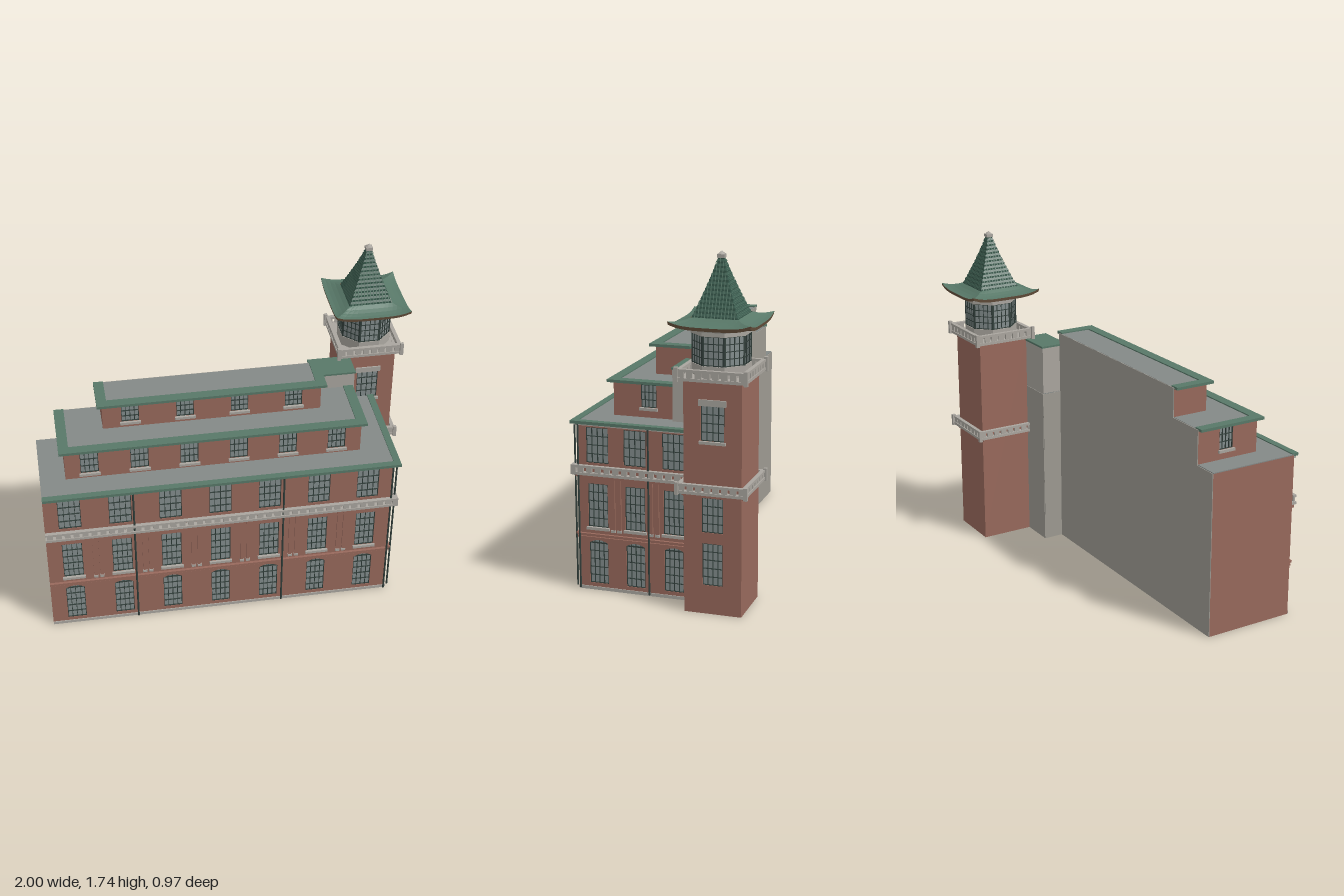
import * as THREE from 'three';
import { mergeGeometries } from 'three/addons/utils/BufferGeometryUtils.js';

const flat = (name, color) => new THREE.MeshStandardMaterial({ name, color, side: THREE.DoubleSide });

export function createModel() {
  const brick = flat('brick', 0x98695c), stone = flat('stone', 0xaaa69f), render = flat('backRender', 0x9d9a92);
  const glass = flat('glass', 0x838d8d), frame = flat('darkFrame', 0x33403c), green = flat('copperGreen', 0x587868);
  const tile = flat('darkTile', 0x37584b), roofGrey = flat('roofGrey', 0x848987), brown = flat('eaveBrown', 0x66503c);
  const model = new THREE.Group();
  model.name = 'building';

  const box = (x0, x1, y0, y1, z0, z1) =>
    new THREE.BoxGeometry(x1 - x0, y1 - y0, z1 - z0).translate((x0 + x1) / 2, (y0 + y1) / 2, (z0 + z1) / 2);
  const add = (parent, name, mat, geos) => {
    if (!geos.length) return;
    const mesh = new THREE.Mesh(mergeGeometries(geos), mat);
    mesh.name = name;
    parent.add(mesh);
  };
  // group whose local +z looks out of a facade
  const facing = (name, x, z, turn) => {
    const g = new THREE.Group();
    g.name = name;
    g.position.set(x, 0, z);
    g.rotation.y = turn * Math.PI / 2;
    model.add(g);
    return g;
  };

  // window outline, with a shallow arched head when rise > 0
  const outline = (p, { x, y0, y1, w, rise = 0 }) => {
    p.moveTo(x - w / 2, y0);
    p.lineTo(x + w / 2, y0);
    p.lineTo(x + w / 2, y1 - rise);
    if (rise) p.quadraticCurveTo(x, y1 + rise, x - w / 2, y1 - rise);
    else p.lineTo(x - w / 2, y1);
    p.closePath();
    return p;
  };

  // brick wall with recessed, barred windows
  const wall = (g, x0, x1, y0, y1, windows = []) => {
    const s = new THREE.Shape([[x0, y0], [x1, y0], [x1, y1], [x0, y1]].map(p => new THREE.Vector2(...p)));
    const panes = [], bars = [], sills = [];
    for (const o of windows) {
      const { x, w, cols = 4, rows = 5, rise = 0, sill, lintel } = o, a = x - w / 2, b = x + w / 2;
      s.holes.push(outline(new THREE.Path(), o));
      panes.push(new THREE.ShapeGeometry(outline(new THREE.Shape(), o), 6).translate(0, 0, -0.01));
      for (let i = 0; i <= cols; i++) {
        const c = a + w * i / cols, edge = i === 0 || i === cols, t = edge ? 0.003 : 0.0016;
        bars.push(box(c - t, c + t, o.y0, o.y1 - (edge ? rise : 0), -0.009, -0.003));
      }
      for (let j = 0; j <= rows; j++) {
        const c = o.y0 + (o.y1 - rise - o.y0) * j / rows, t = j === 0 || j === rows ? 0.003 : 0.0016;
        bars.push(box(a, b, c - t, c + t, -0.009, -0.003));
      }
      if (sill) sills.push(box(a - 0.008, b + 0.008, o.y0 - 0.014, o.y0, -0.01, 0.012));
      if (lintel) sills.push(box(a - 0.01, b + 0.01, o.y1, o.y1 + 0.03, -0.01, 0.008));
    }
    add(g, 'brickWall', brick, [new THREE.ExtrudeGeometry(s, { depth: 0.012, bevelEnabled: false, curveSegments: 6 }).translate(0, 0, -0.012)]);
    add(g, 'windowPanes', glass, panes);
    add(g, 'windowBars', frame, bars);
    add(g, 'sillsAndLintels', stone, sills);
  };

  // stone ledge with balusters and a rail
  const balustrade = (g, x0, x1, y, out, h = 0.05) => {
    const n = Math.round((x1 - x0) / 0.045), step = (x1 - x0) / n;
    const parts = [box(x0, x1, y, y + 0.014, 0, out), box(x0, x1, y + h - 0.012, y + h, out - 0.02, out)];
    for (let i = 0; i < n; i++) {
      const c = x0 + (i + 0.5) * step;
      parts.push(box(c - 0.015, c + 0.015, y + 0.01, y + h - 0.01, out - 0.014, out - 0.004));
    }
    add(g, 'balustrade', stone, parts);
  };

  // three storeys of the main block, seen from one facade
  const storeys = xs => xs.flatMap(x => [
    { x, w: 0.098, y0: 0.035, y1: 0.262, rise: 0.016 },
    { x, w: 0.103, y0: 0.33, y1: 0.553, sill: true },
    { x, w: 0.115, y0: 0.66, y1: 0.84, rows: 4 }]);
  const facade = (g, x0, x1, xs, pipes, mids) => {
    wall(g, x0, x1, 0, 0.865, storeys(xs));
    balustrade(g, x0, x1 + 0.0, 0.6, 0.027);
    add(g, 'plinth', stone, [box(x0, x1, 0, 0.016, 0, 0.005)]);
    add(g, 'brickCourses', brick, [box(x0, x1, 0.27, 0.278, 0, 0.008), box(x0, x1, 0.284, 0.296, 0, 0.014), box(x0, x1, 0.585, 0.6, 0, 0.012)]);
    const both = mids.flatMap(m => [m - 0.016, m + 0.016]);
    add(g, 'pilasters', brick, both.map(c => box(c - 0.009, c + 0.009, 0.325, 0.59, 0, 0.008)));
    add(g, 'pilasterFeet', stone, both.map(c => box(c - 0.011, c + 0.011, 0.312, 0.325, 0, 0.012)));
    add(g, 'drainpipes', frame, pipes.map(c => new THREE.CylinderGeometry(0.005, 0.005, 0.85, 8).translate(c, 0.435, 0.016)));
  };
  const row = (n, start, step) => Array.from({ length: n }, (_, i) => start + i * step);

  // main block
  const front = facing('frontFacade', 0, 0.455, 0);
  facade(front, -1, 0.81, row(7, -0.87, 0.2575), [-0.545, 0.23, 0.8], row(6, -0.741, 0.2575));
  const side = facing('sideFacade', 0.81, 0, 1);
  facade(side, -0.455, 0.14, [-0.35, -0.155, 0.045], [-0.08, -0.445], [-0.2525, -0.055]);
  add(model, 'balustradeCorner', stone, [box(0.81, 0.837, 0.6, 0.65, 0.455, 0.482)]);
  wall(facing('plainEnd', -1, 0, -1), -0.03, 0.455, 0, 0.865);
  add(model, 'mainRoof', roofGrey, [box(-1, 0.81, 0.862, 0.87, -0.03, 0.455), box(0.47, 0.81, 0.862, 0.87, -0.14, -0.03)]);
  add(model, 'mainEaves', green, [box(-1, 0.84, 0.86, 0.875, 0.445, 0.48), box(0.805, 0.84, 0.86, 0.875, -0.14, 0.48)]);
  add(model, 'eaveMoulding', stone, [box(-1, 0.822, 0.85, 0.86, 0.455, 0.467), box(0.81, 0.822, 0.85, 0.86, -0.14, 0.467)]);

  // set-back upper storeys: walls, flat roof and green eaves on three sides
  const tier = (name, x0, x1, zf, y0, y1, windows, ends) => {
    wall(facing(name + 'Front', 0, zf, 0), x0, x1, y0, y1, windows);
    wall(facing(name + 'LeftEnd', x1, 0, 1), -zf, 0.03, y0, y1, ends.map(o => ({ ...o, x: -o.x })));
    wall(facing(name + 'RightEnd', x0, 0, -1), -0.03, zf, y0, y1, ends);
    add(model, name + 'Roof', roofGrey, [box(x0, x1, y1 - 0.005, y1 + 0.004, -0.03, zf)]);
    const e = 0.026;
    add(model, name + 'Eaves', green, [box(x0 - e, x1 + e, y1 - 0.004, y1 + 0.01, zf - e, zf + e),
      box(x0 - e, x0 + e, y1 - 0.004, y1 + 0.01, -0.03, zf), box(x1 - e, x1 + e, y1 - 0.004, y1 + 0.01, -0.03, zf)]);
  };
  tier('middleTier', -0.87, 0.657, 0.318, 0.865, 1.045,
    row(6, -0.745, 0.255).map(x => ({ x, w: 0.092, y0: 0.9, y1: 1.025, rows: 3, sill: true })),
    [{ x: 0.135, w: 0.08, y0: 0.92, y1: 1.035, rows: 3, sill: true }]);
  tier('topTier', -0.657, 0.473, 0.162, 1.045, 1.197,
    row(4, -0.515, 0.2817).map(x => ({ x, w: 0.09, y0: 1.082, y1: 1.178, rows: 3, sill: true })), []);

  // plain rendered back, stepped with the tiers
  add(model, 'backWall', render, [box(-1, 0.47, 0, 0.866, -0.034, -0.03),
    box(-0.87, 0.657, 0.866, 1.047, -0.034, -0.03), box(-0.657, 0.473, 1.047, 1.2, -0.034, -0.03)]);

  // stair block linking to the tower
  add(model, 'stairBlock', stone, [box(0.47, 0.69, 0.866, 1.13, -0.14, 0)]);
  add(model, 'stairBlockBase', render, [box(0.47, 0.66, 0, 0.866, -0.143, -0.139), box(0.468, 0.472, 0, 0.866, -0.14, -0.03)]);
  add(model, 'stairBlockRoof', green, [box(0.464, 0.695, 1.13, 1.14, -0.147, 0.004)]);

  // tower
  const cx = 0.8, cz = -0.285, r = 0.143;
  const towerWindows = [{ x: 0, w: 0.1, y0: 0.145, y1: 0.355 }, { x: 0, w: 0.105, y0: 0.41, y1: 0.582, rows: 4 },
    { x: 0, w: 0.115, y0: 0.86, y1: 1.03, rows: 4, lintel: true, sill: true }];
  for (let k = 0; k < 4; k++) {
    const g = facing('towerSide' + k, cx + r * Math.sin(k * Math.PI / 2), cz + r * Math.cos(k * Math.PI / 2), k);
    wall(g, -r, r, 0, 1.15, k < 2 ? towerWindows : []);
    balustrade(g, -r - 0.027, r + 0.027, 0.6, 0.027);
    balustrade(g, -r - 0.027, r + 0.027, 1.147, 0.027, 0.055);
    add(g, 'brickCourses', brick, [box(-r, r, 0.585, 0.6, 0, 0.012)]);
    add(g, 'cornerPosts', stone, [-1, 1].flatMap(s => [[0.595, 0.657], [1.142, 1.212]].map(([a, b]) =>
      box(s * 0.17 - 0.009, s * 0.17 + 0.009, a, b, 0.018, 0.036))));
  }
  add(model, 'towerDeck', stone, [box(cx - 0.165, cx + 0.165, 1.145, 1.16, cz - 0.165, cz + 0.165)]);

  // octagonal lantern
  const octagon = (apothem, y0, y1, top = apothem) => new THREE.CylinderGeometry(top / Math.cos(Math.PI / 8),
    apothem / Math.cos(Math.PI / 8), y1 - y0, 8).toNonIndexed().rotateY(Math.PI / 8).translate(cx, (y0 + y1) / 2, cz);
  const faceted = g => { g.computeVertexNormals(); return g; };
  add(model, 'lanternGlass', glass, [faceted(octagon(0.127, 1.16, 1.365))]);
  add(model, 'lanternBands', stone, [octagon(0.132, 1.16, 1.215), octagon(0.134, 1.355, 1.375), octagon(0.136, 1.375, 1.4, 0.15)].map(faceted));
  const lanternBars = [];
  for (let k = 0; k < 8; k++) {
    const put = g => lanternBars.push(g.rotateY(k * Math.PI / 4).translate(cx, 0, cz));
    for (let i = -2; i <= 2; i++) {
      const t = Math.abs(i) === 2 ? 0.004 : 0.0017;
      put(box(i * 0.025 - t, i * 0.025 + t, 1.215, 1.355, 0.125, 0.131));
    }
    for (let j = 0; j < 5; j++) put(box(-0.052, 0.052, 1.216 + j * 0.034, 1.22 + j * 0.034, 0.125, 0.13));
  }
  add(model, 'lanternBars', frame, lanternBars);

  // four-sided roof skin: shape(u, v) gives [x, y, distance from axis]
  const roofSkin = (name, mat, cols, rows, ...shapes) => {
    const geos = [];
    for (const shape of shapes) for (let k = 0; k < 4; k++) {
      const g = new THREE.PlaneGeometry(2, 1, cols, rows), p = g.attributes.position;
      for (let i = 0; i < p.count; i++) p.setXYZ(i, ...shape(p.getX(i), p.getY(i) + 0.5));
      geos.push(faceted(g.toNonIndexed().rotateY(k * Math.PI / 2).translate(cx, 0, cz)));
    }
    add(model, name, mat, geos);
  };
  const lift = (u, v) => 0.022 * Math.abs(u) ** 4 * (1 - v);
  roofSkin('flaredEaves', green, 12, 4, (u, v) => {
    const h = 0.2 - 0.085 * v;
    return [u * h, 1.408 + 0.03 * v * v + lift(u, v), h];
  });
  roofSkin('eaveRim', brown, 12, 1, (u, v) => [u * (0.197 + 0.003 * v), 1.392 + 0.016 * v + lift(u, 0), 0.197 + 0.003 * v]);
  roofSkin('eaveSoffit', brown, 12, 1, (u, v) => {
    const h = 0.13 + 0.067 * v;
    return [u * h, 1.39 + 0.002 * v + lift(u, 1 - v), h];
  });
  // steep spire with overlapping tile courses and ribs
  const spire = v => 0.012 + 0.103 * (1 - v) ** 1.15, rows = 28;
  const spireY = v => 1.425 + 0.285 * v;
  roofSkin('spireTiles', tile, 1, rows, (u, v) => {
    const h = spire(v) + (Math.round(v * rows) % 2 ? 0 : 0.003);
    return [u * h, spireY(v), h];
  });
  const ribs = row(13, -0.096, 0.016).map(c => (u, v) => {
    const t = v * (1 - Math.min(1, Math.max(0, (Math.abs(c) - 0.012) / 0.103)) ** (1 / 1.15));
    return [c + u * 0.002, spireY(t), spire(t) + 0.004];
  });
  roofSkin('spireRibs', green, 1, 6, ...ribs);
  add(model, 'finial', stone, [box(cx - 0.018, cx + 0.018, 1.705, 1.722, cz - 0.018, cz + 0.018),
    new THREE.ConeGeometry(0.02, 0.016, 4).rotateY(Math.PI / 4).translate(cx, 1.73, cz)]);
  return model;
}
